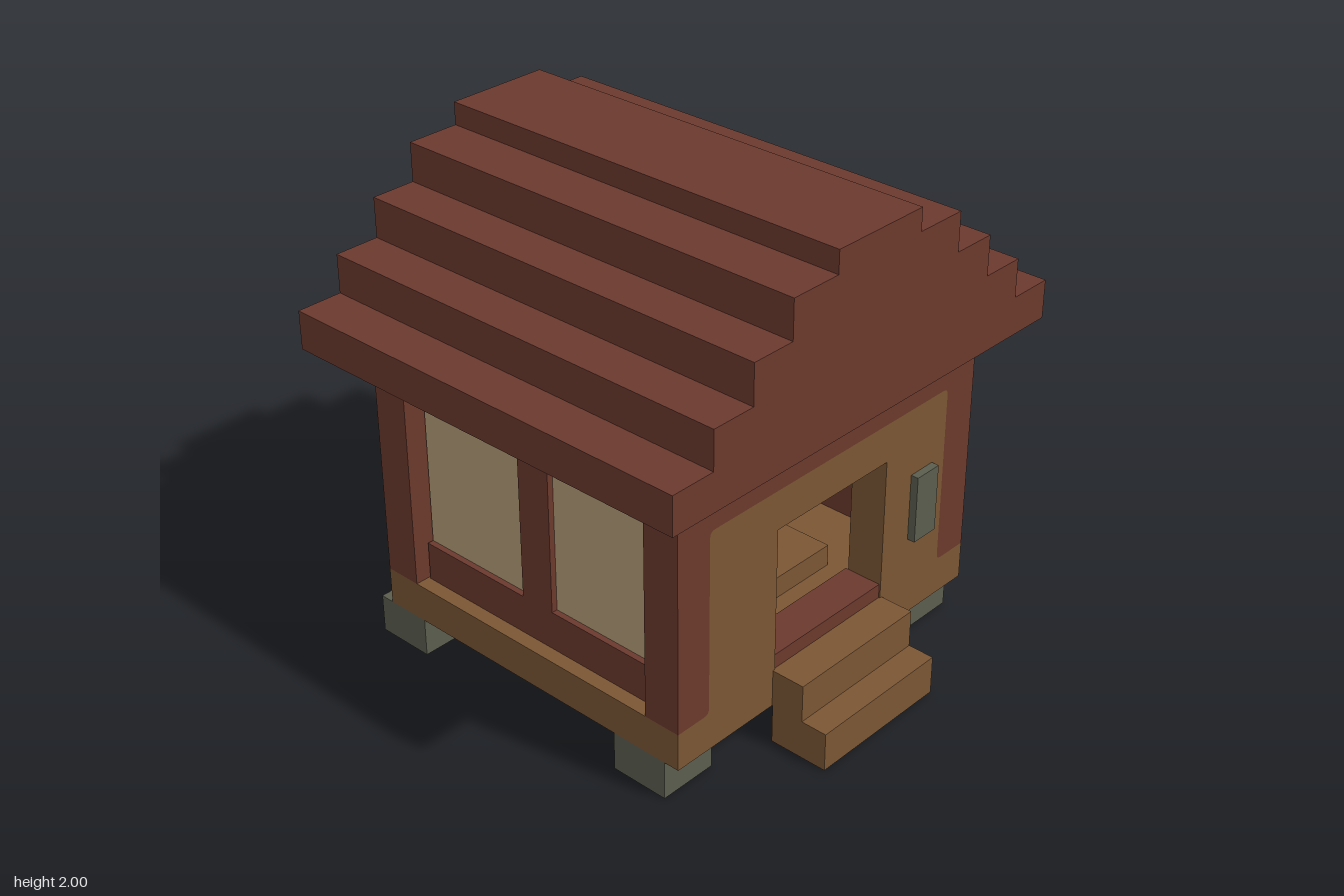
import * as THREE from 'three';

export function createModel() {
  const model = new THREE.Group();
  const material = (name, color) => {
    const m = new THREE.MeshStandardMaterial({ color });
    m.name = name;
    return m;
  };
  const red = material('red wood', 0x6b392d);
  const brown = material('brown wood', 0x7b5634);
  const beige = material('beige paper', 0xb39e78);
  const grey = material('grey stone', 0x5b5d4e);

  // Box given by its limits on each axis
  const box = (name, mat, x0, x1, y0, y1, z0, z1, parent = model) => {
    const mesh = new THREE.Mesh(new THREE.BoxGeometry(x1 - x0, y1 - y0, z1 - z0), mat);
    mesh.position.set((x0 + x1) / 2, (y0 + y1) / 2, (z0 + z1) / 2);
    mesh.name = name;
    parent.add(mesh);
    return mesh;
  };
  const slab = (name, mat, shape, z0, z1) => {
    const geo = new THREE.ExtrudeGeometry(shape, { depth: z1 - z0, bevelEnabled: false, curveSegments: 4 });
    geo.translate(0, 0, z0);
    const mesh = new THREE.Mesh(geo, mat);
    mesh.name = name;
    model.add(mesh);
  };

  // Stepped roof
  const roof = new THREE.Group();
  roof.name = 'roof';
  model.add(roof);
  const tiers = [[1, 1.285, 1.44], [0.81, 1.44, 1.595], [0.623, 1.595, 1.755], [0.437, 1.755, 1.91], [0.217, 1.91, 2]];
  for (const [w, y0, y1] of tiers) box('roofTier', red, -w, w, y0, y1, -0.955, 0.86, roof);

  // Raised floor with a red underside
  box('floor', [brown, brown, brown, red, brown, brown], -0.81, 0.81, 0.16, 0.315, -0.795, 0.705);

  // Stone feet
  for (const x of [-0.81, 0.565]) {
    for (const z of [-0.855, 0.395]) box('foot', grey, x, x + 0.245, 0, 0.16, z, z + 0.245);
  }

  // Entrance steps and sill
  box('lowerStep', brown, -0.312, 0.312, 0, 0.16, 0.707, 0.955);
  box('upperStep', brown, -0.312, 0.312, 0.16, 0.315, 0.705, 0.845);
  box('doorSill', red, -0.3, 0.3, 0.315, 0.375, 0.54, 0.7);

  // Inner wall field: flared at the foot, rounded at the top
  const W = 0.81, P = 0.652, B = 0.315, T = 1.285, R = 0.025;
  const fieldEdge = (shape, top) => {
    shape.lineTo(P + R, B);
    shape.quadraticCurveTo(P, B, P, B + R);
    shape.lineTo(P, top - R);
    shape.quadraticCurveTo(P, top, P - R, top);
    shape.lineTo(-P + R, top);
    shape.quadraticCurveTo(-P, top, -P, top - R);
    shape.lineTo(-P, B + R);
    shape.quadraticCurveTo(-P, B, -P - R, B);
  };

  // Front wall: red posts and beam around a brown field with a doorway
  const frame = new THREE.Shape();
  frame.moveTo(W, B);
  fieldEdge(frame, 1.07);
  frame.lineTo(-W, B);
  frame.lineTo(-W, T);
  frame.lineTo(W, T);
  frame.closePath();
  slab('frontFrame', red, frame, 0.55, 0.705);
  const field = new THREE.Shape();
  field.moveTo(0.302, B);
  fieldEdge(field, 1.07);
  field.lineTo(-0.302, B);
  field.lineTo(-0.302, 0.91);
  field.lineTo(0.302, 0.91);
  field.closePath();
  slab('frontWall', brown, field, 0.55, 0.705);

  // Back wall between two posts
  box('backWall', brown, -P, P, B, T, -0.795, -0.64);
  for (const s of [-1, 1]) {
    box('backPost', red, Math.min(s * P, s * W), Math.max(s * P, s * W), B, T, -0.795, -0.64);
  }

  // Recessed side screens with two windows each
  for (const s of [-1, 1]) {
    const side = new THREE.Group();
    side.name = s > 0 ? 'leftScreen' : 'rightScreen';
    model.add(side);
    const part = (name, mat, outer, inner, y0, y1, z0, z1) =>
      box(name, mat, Math.min(s * inner, s * outer), Math.max(s * inner, s * outer), y0, y1, z0, z1, side);
    part('bottomRail', red, 0.75, 0.66, B, 0.475, -0.63, 0.543);
    part('topRail', red, 0.75, 0.66, 1.1, 1.25, -0.63, 0.543);
    part('mullion', red, 0.75, 0.66, 0.475, 1.1, -0.115, 0.035);
    part('backWindow', beige, 0.725, 0.69, 0.475, 1.1, -0.63, -0.115);
    part('frontWindow', beige, 0.725, 0.69, 0.475, 1.1, 0.035, 0.543);
  }

  // Low platform inside with two small blocks
  box('platform', brown, -0.34, 0.34, B, 0.405, -0.64, 0.42);
  box('offeringBlock', beige, -0.155, -0.02, 0.405, 0.535, 0.03, 0.16);
  box('offeringBlock', beige, 0.06, 0.198, 0.405, 0.52, 0.03, 0.16);

  // Plaque beside the door
  box('plaque', grey, 0.455, 0.58, 0.503, 0.785, 0.705, 0.737);

  return model;
}
